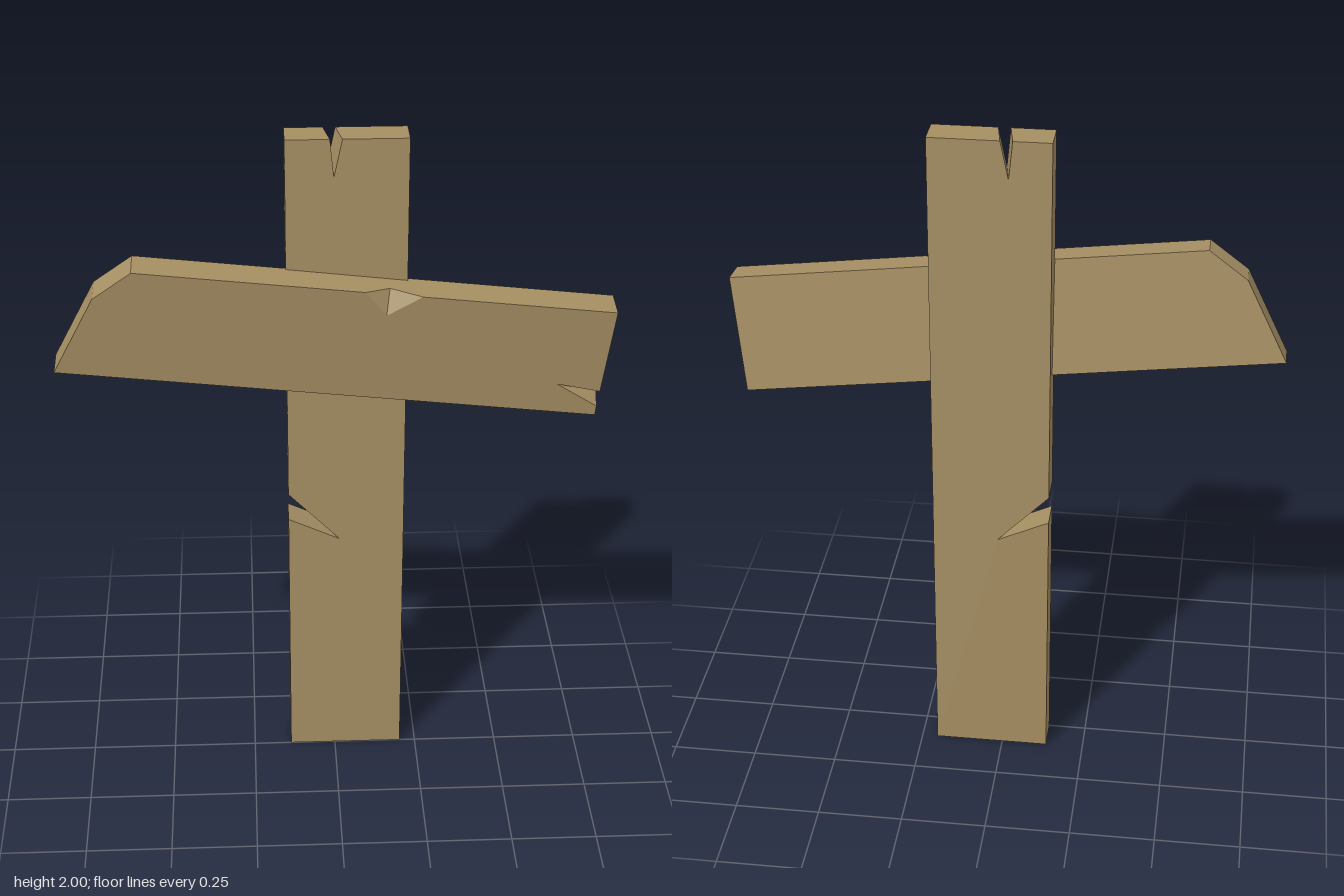
import * as THREE from 'three';

const THICK = 0.095;
const wood = new THREE.MeshStandardMaterial({ color: 0xa68f63 });
wood.name = 'weathered wood';

// Upright plank with a split in its left edge and a skewed crack in its top
function makePost() {
  const outline = [
    [-0.137, 0], [0.203, 0], [0.203, 2], [0.02, 2], [-0.003, 1.89], [-0.014, 2],
    [-0.137, 2], [-0.137, 0.9], [0.013, 0.745], [-0.137, 0.815],
  ].map(([x, y]) => new THREE.Vector2(x, y));
  const geo = new THREE.ExtrudeGeometry(new THREE.Shape(outline), { depth: THICK, bevelEnabled: false });
  geo.translate(0, 0, -THICK);
  const p = geo.attributes.position;
  for (let i = 0; i < p.count; i++) {
    // the crack runs slightly sideways towards the back
    if (p.getZ(i) < -0.05 && p.getY(i) > 1.8 && Math.abs(p.getX(i)) < 0.05) p.setX(i, p.getX(i) - 0.016);
  }
  geo.computeVertexNormals();
  const mesh = new THREE.Mesh(geo, wood);
  mesh.name = 'post';
  return mesh;
}

// Leaning cross plank with two chips broken out of its front edges
function makeBoard() {
  const lean = 0.11, pivotY = 1.66;
  const at = (x, y, z = 0) => new THREE.Vector3(x, (y - pivotY) / Math.cos(lean), z);
  const back = (v) => v.clone().setZ(-THICK);

  const bottomLeft = at(-0.79, 1.345), bottomRight = at(0.745, 1.165);
  const topRight = at(0.785, 1.505), topLeft = at(-0.56, 1.66), shoulder = at(-0.67, 1.58);
  // end chip: two edge points, the tip on the front face, the depth on the end face
  const endLow = at(0.748, 1.195), endHigh = at(0.754, 1.245);
  const endTip = at(0.63, 1.273), endDeep = at(0.75, 1.225, -0.045);
  // top chip
  const chipLeft = at(0.08, 1.586), chipRight = at(0.24, 1.568);
  const chipTip = at(0.14, 1.51), chipDeep = at(0.15, 1.578, -0.033);

  const positions = [];
  const tri = (...pts) => pts.forEach((v) => positions.push(v.x, v.y, v.z));
  const fan = (...pts) => {
    for (let i = 1; i < pts.length - 1; i++) tri(pts[0], pts[i], pts[i + 1]);
  };
  const flat = (pts, flip) => {
    const outline = pts.map((v) => new THREE.Vector2(v.x, v.y));
    for (const [a, b, c] of THREE.ShapeUtils.triangulateShape(outline, [])) {
      if (flip) tri(pts[a], pts[c], pts[b]);
      else tri(pts[a], pts[b], pts[c]);
    }
  };

  // front and back faces
  flat([bottomLeft, bottomRight, endLow, endTip, endHigh, topRight,
    chipRight, chipTip, chipLeft, topLeft, shoulder], false);
  flat([bottomLeft, bottomRight, topRight, topLeft, shoulder].map(back), true);
  // plain edges
  for (const [a, b] of [[bottomLeft, bottomRight], [topLeft, shoulder], [shoulder, bottomLeft]]) {
    fan(a, back(a), back(b), b);
  }
  // chipped end and top, fanned from the deepest point of each chip
  fan(endDeep, endLow, bottomRight, back(bottomRight), back(topRight), topRight, endHigh);
  fan(chipDeep, chipRight, topRight, back(topRight), back(topLeft), topLeft, chipLeft);
  // broken surfaces inside the chips
  tri(endLow, endDeep, endTip);
  tri(endDeep, endHigh, endTip);
  tri(chipRight, chipDeep, chipTip);
  tri(chipDeep, chipLeft, chipTip);

  const geo = new THREE.BufferGeometry();
  geo.setAttribute('position', new THREE.Float32BufferAttribute(positions, 3));
  geo.computeVertexNormals();
  const mesh = new THREE.Mesh(geo, wood);
  mesh.name = 'crossBoard';
  mesh.position.set(0, pivotY, 0.093);
  mesh.rotation.x = lean;
  return mesh;
}

export function createModel() {
  const group = new THREE.Group();
  group.name = 'woodenSignpost';
  group.add(makePost(), makeBoard());
  return group;
}
